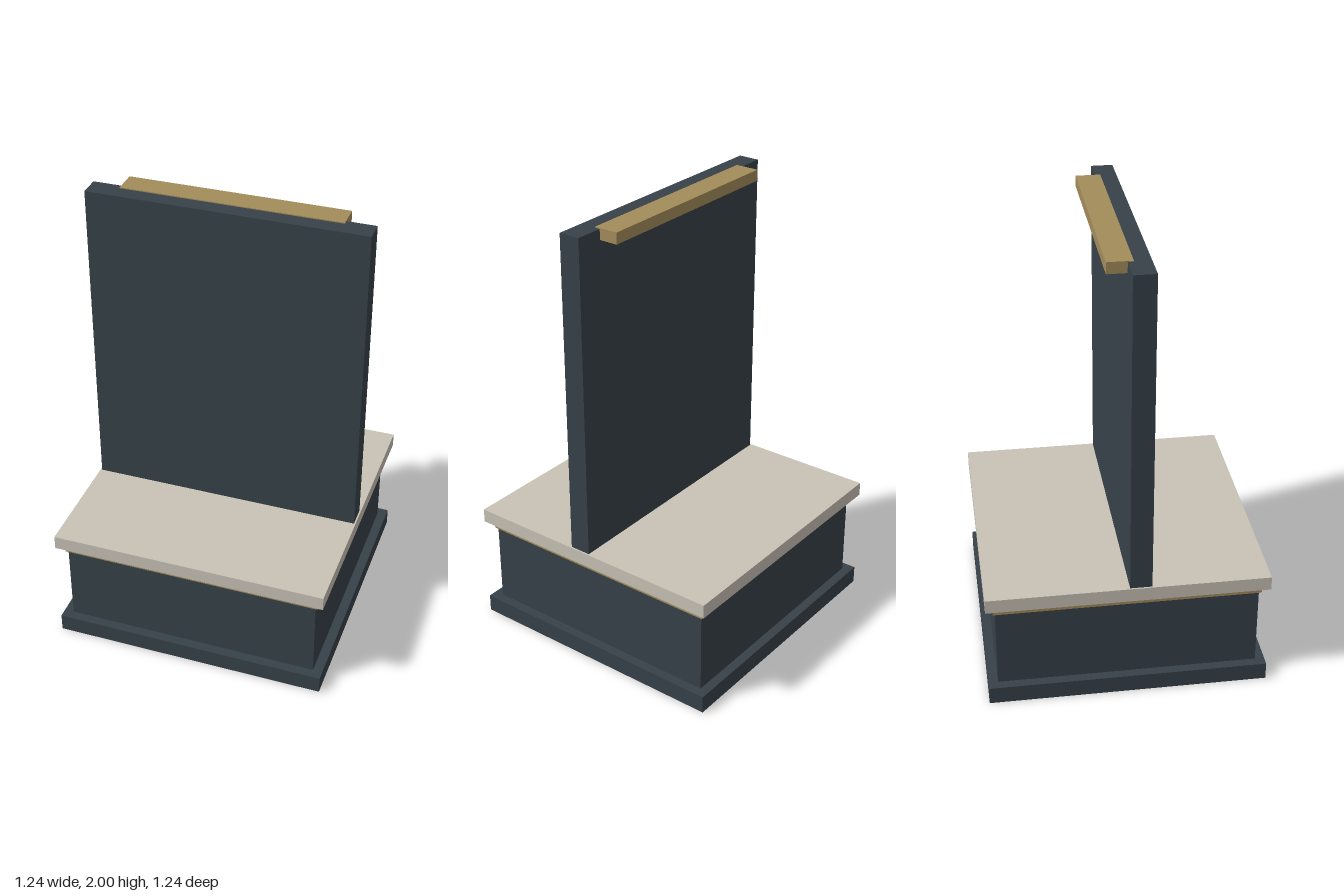
import * as THREE from 'three';

export function createModel() {
  const model = new THREE.Group();
  const material = (name, color) => {
    const m = new THREE.MeshStandardMaterial({ color });
    m.name = name;
    return m;
  };
  const slate = material('dark slate', 0x364148);
  const stone = material('pale stone', 0xc8c2b6);
  const brass = material('brass', 0xa38c5a);

  // Box spanning y0..y1 and z0..z1, centred on x = 0
  const block = (name, mat, width, y0, y1, z0, z1) => {
    const mesh = new THREE.Mesh(new THREE.BoxGeometry(width, y1 - y0, z1 - z0), mat);
    mesh.position.set(0, (y0 + y1) / 2, (z0 + z1) / 2);
    mesh.name = name;
    model.add(mesh);
  };

  // Square pedestal, bottom to top
  block('plinth', slate, 1.235, 0, 0.08, -0.6175, 0.6175);
  block('pedestalBody', slate, 1.15, 0.08, 0.45, -0.575, 0.575);
  block('brassTrim', brass, 1.17, 0.45, 0.487, -0.585, 0.585);
  block('stoneTop', stone, 1.235, 0.487, 0.55, -0.6175, 0.6175);

  // Upright panel with a rail let into the top of its back
  block('backPanel', slate, 1.22, 0.55, 1.996, 0.002, 0.098);
  block('topRail', brass, 0.965, 1.95, 2, -0.083, 0.026);

  return model;
}
